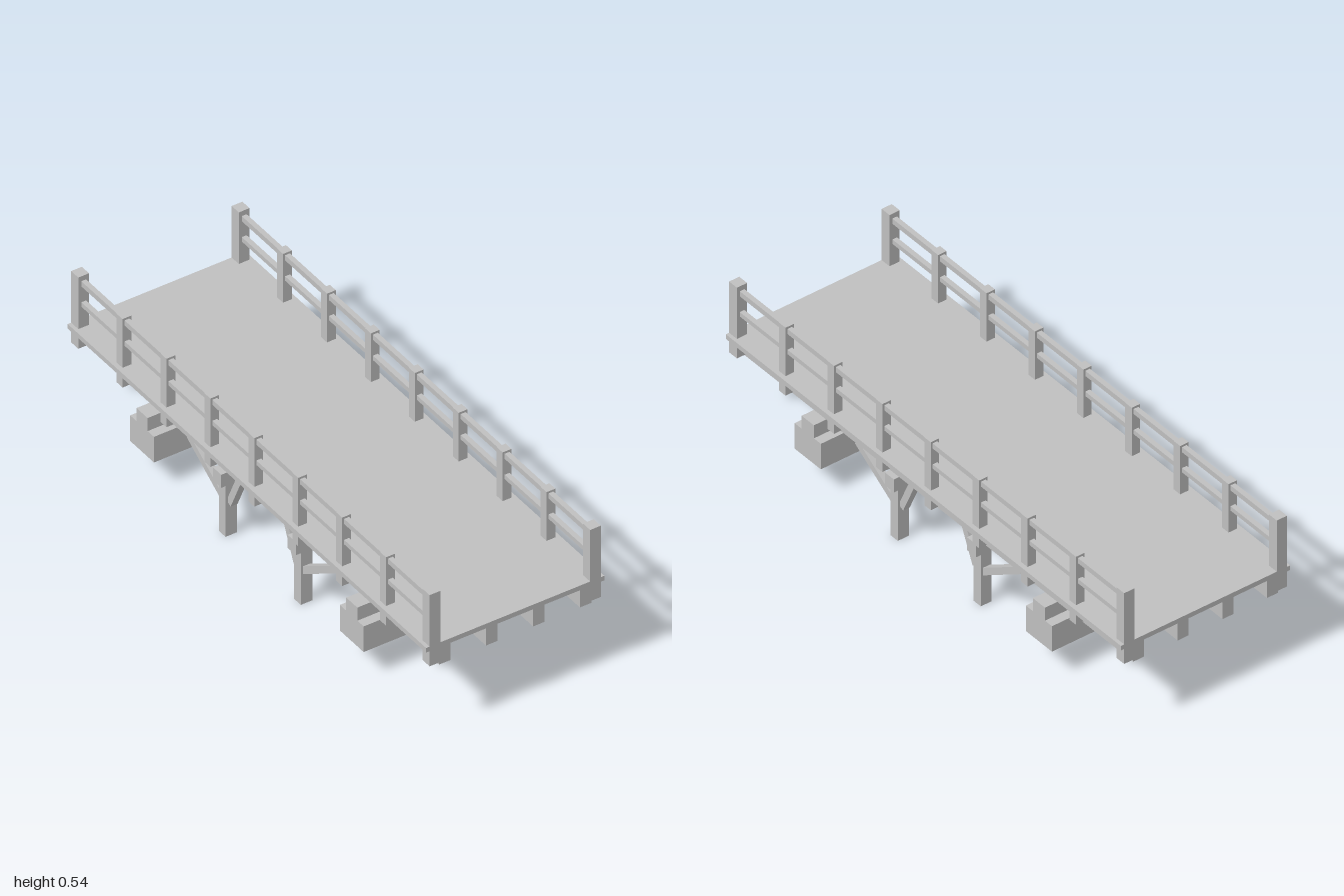
import * as THREE from 'three';

export function createModel() {
  const model = new THREE.Group();
  const grey = new THREE.MeshStandardMaterial({ color: 0xbfbfbf });
  grey.name = 'plain grey';

  // Box given by its lower and upper limits on each axis
  function box(name, [x0, x1], [y0, y1], [z0, z1]) {
    const mesh = new THREE.Mesh(new THREE.BoxGeometry(x1 - x0, y1 - y0, z1 - z0), grey);
    mesh.position.set((x0 + x1) / 2, (y0 + y1) / 2, (z0 + z1) / 2);
    mesh.name = name;
    model.add(mesh);
    return mesh;
  }
  const around = (centre, size) => [centre - size / 2, centre + size / 2];

  // Slanted square beam running in the y-z plane
  function brace(name, x, [za, ya], [zb, yb]) {
    const length = Math.hypot(zb - za, yb - ya);
    const mesh = new THREE.Mesh(new THREE.BoxGeometry(0.026, 0.025, length), grey);
    mesh.position.set(x, (ya + yb) / 2, (za + zb) / 2);
    mesh.rotation.x = -Math.atan2(yb - ya, zb - za);
    mesh.name = name;
    model.add(mesh);
  }

  // Deck and the four girders below it
  box('deck', [-0.333, 0.333], [0.322, 0.34], [-1, 1]);
  for (const x of [-0.263, -0.088, 0.088, 0.263]) {
    box('girder', around(x, 0.043), [0.255, 0.322], [-1, 1]);
  }

  // Railings: posts with two rails on each side
  for (const side of [-1, 1]) {
    const x = side * 0.3;
    for (let i = -4; i <= 4; i++) {
      const end = Math.abs(i) === 4;
      const width = end ? 0.04 : 0.033;
      box(end ? 'endPost' : 'railPost', around(x, width),
        [0.263, end ? 0.541 : 0.53], around(i * 0.245, width));
    }
    box('topRail', around(x, 0.018), [0.502, 0.522], [-0.965, 0.965]);
    box('middleRail', around(x, 0.018), [0.423, 0.44], [-0.965, 0.965]);
  }

  for (const end of [-1, 1]) {
    // Stepped abutment
    box('abutmentFooting', [-0.333, 0.333], [0.104, 0.204], around(end * 0.585, 0.133));
    box('abutmentSeat', [-0.333, 0.333], [0.204, 0.255], around(end * 0.585, 0.062));

    // Trestle with cap beam, legs and knee braces
    box('trestleCap', [-0.305, 0.305], [0.204, 0.255], around(end * 0.208, 0.046));
    for (const side of [-1, 1]) {
      const x = side * 0.263;
      box('trestleLeg', around(x, 0.043), [0, 0.204], around(end * 0.21, 0.037));
      brace('outerBrace', x, [end * 0.22, 0.127], [end * 0.413, 0.25]);
      brace('innerBrace', x, [end * 0.187, 0.13], [end * 0.133, 0.25]);
    }
  }
  return model;
}
